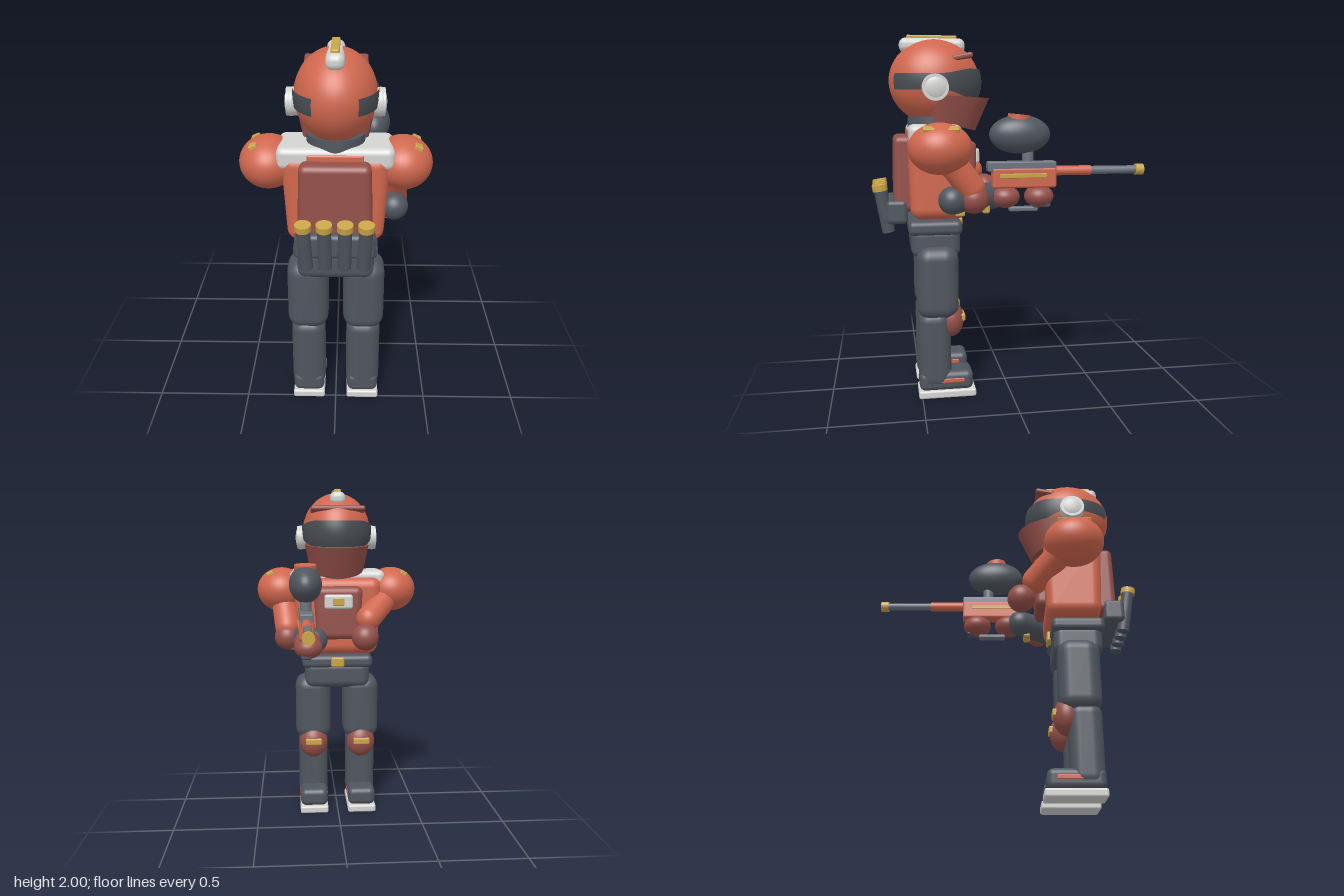
import * as THREE from 'three';
import { RoundedBoxGeometry } from 'three/addons/geometries/RoundedBoxGeometry.js';

const paint = (name, color, extra = {}) => {
  const m = new THREE.MeshStandardMaterial({ color, ...extra });
  m.name = name;
  return m;
};

export function createModel() {
  const orange = paint('orange armour', 0xd0674e);
  const maroon = paint('dark red armour', 0x95504a);
  const slate = paint('slate suit', 0x50565f);
  const visorMat = paint('visor', 0x484d53, { side: THREE.DoubleSide });
  const steel = paint('steel', 0x6c727e);
  const white = paint('light grey', 0xd4d4d3);
  const gold = paint('gold', 0xc9a548);

  const model = new THREE.Group();
  model.name = 'armouredTrooper';

  const add = (name, geo, mat, x = 0, y = 0, z = 0) => {
    const m = new THREE.Mesh(geo, mat);
    m.name = name;
    m.position.set(x, y, z);
    model.add(m);
    return m;
  };
  // Rounded box given by its extents on each axis
  const block = (name, mat, [x0, x1], [y0, y1], [z0, z1], r = 0.02) =>
    add(name, new RoundedBoxGeometry(x1 - x0, y1 - y0, z1 - z0, 4, r), mat,
      (x0 + x1) / 2, (y0 + y1) / 2, (z0 + z1) / 2);
  const ball = (name, mat, x, y, z, rx, ry = rx, rz = rx) => {
    const m = add(name, new THREE.SphereGeometry(1, 40, 28), mat, x, y, z);
    m.scale.set(rx, ry, rz);
    return m;
  };
  // Capsule or cylinder running between two points
  const between = (name, mat, a, b, r, capsule = true) => {
    const p = new THREE.Vector3(...a), q = new THREE.Vector3(...b);
    const len = p.distanceTo(q);
    const geo = capsule ? new THREE.CapsuleGeometry(r, len, 8, 28) : new THREE.CylinderGeometry(r, r, len, 28);
    const m = add(name, geo, mat);
    m.position.copy(p).add(q).multiplyScalar(0.5);
    m.quaternion.setFromUnitVectors(new THREE.Vector3(0, 1, 0), q.sub(p).normalize());
    return m;
  };
  // Scale x and z along the height
  const taper = (mesh, h, bottom, top) => {
    const p = mesh.geometry.attributes.position;
    for (let i = 0; i < p.count; i++) {
      const s = THREE.MathUtils.lerp(bottom, top, p.getY(i) / h + 0.5);
      p.setX(i, p.getX(i) * s);
      p.setZ(i, p.getZ(i) * s);
    }
    return mesh;
  };

  // Head and crest
  ball('head', orange, 0, 1.75, 0.395, 0.205, 0.23, 0.25);
  block('crest', white, [-0.045, 0.045], [1.905, 1.985], [0.225, 0.585], 0.035);
  block('crestStripe', gold, [-0.021, 0.021], [1.97, 2.0], [0.27, 0.545], 0.008);
  block('browPeak', maroon, [-0.16, 0.16], [1.865, 1.895], [0.195, 0.31], 0.012).rotation.x = 0.2;
  add('neck', new THREE.CylinderGeometry(0.145, 0.15, 0.14, 40), slate, 0, 1.49, 0.4);

  // Visor band wrapping the head, taller at the face
  const visor = new THREE.PlaneGeometry(1, 1, 64, 6);
  const vp = visor.attributes.position;
  for (let i = 0; i < vp.count; i++) {
    const a = vp.getX(i) * 2 * 2.6;
    const face = THREE.MathUtils.smoothstep(Math.cos(a), 0.1, 0.8);
    const y = 1.747 - 0.008 * face + vp.getY(i) * (0.085 + 0.07 * face);
    const c = Math.sqrt(1 - ((y - 1.75) / 0.24) ** 2);
    vp.setXYZ(i, 0.213 * Math.sin(a) * c, y, 0.395 - 0.262 * Math.cos(a) * c);
  }
  visor.computeVertexNormals();
  add('visor', visor, visorMat);

  // Jaw guard: slanted half bowl in front of the face
  const jaw = new THREE.CylinderGeometry(1, 1, 1, 48, 4);
  const jp = jaw.attributes.position;
  for (let i = 0; i < jp.count; i++) {
    const t = jp.getY(i) + 0.5, x = jp.getX(i), z = jp.getZ(i);
    const front = Math.max(0, -z);
    const depth = z < 0 ? 0.2 + 0.08 * t : 0.08;
    jp.setXYZ(i, x * (0.165 + 0.03 * t), THREE.MathUtils.lerp(1.53 - 0.05 * front, 1.675 - 0.015 * front, t), 0.37 + z * depth);
  }
  jaw.computeVertexNormals();
  add('jawGuard', jaw, maroon);

  // Torso
  taper(block('torso', orange, [-0.27, 0.27], [1.01, 1.48], [0.225, 0.56], 0.06), 0.47, 0.9, 1);
  block('shoulderYoke', white, [-0.29, 0.29], [1.405, 1.52], [0.27, 0.55], 0.035);
  block('yokeInset', orange, [-0.14, 0.14], [1.43, 1.49], [0.5, 0.556], 0.01);
  taper(block('chestPlate', maroon, [-0.15, 0.15], [1.11, 1.43], [0.175, 0.3], 0.04), 0.32, 0.85, 1);
  block('chestPocket', white, [-0.085, 0.085], [1.3, 1.385], [0.155, 0.2], 0.015);
  block('pocketBadge', gold, [-0.035, 0.035], [1.32, 1.365], [0.149, 0.17], 0.005);
  block('pelvis', slate, [-0.2, 0.2], [0.79, 0.96], [0.275, 0.545], 0.05);
  block('belt', slate, [-0.218, 0.218], [0.92, 1.0], [0.265, 0.56], 0.03);
  block('buckle', gold, [-0.04, 0.04], [0.93, 0.99], [0.247, 0.29], 0.01);

  // Backpack and canisters
  taper(block('backpack', maroon, [-0.19, 0.19], [1.05, 1.46], [0.5, 0.635], 0.035), 0.41, 1, 0.92);
  block('canisterRack', slate, [-0.2, 0.2], [0.985, 1.115], [0.56, 0.675], 0.025);
  for (const x of [-0.153, -0.051, 0.051, 0.153]) {
    between('canister', slate, [x * 0.93, 0.94, 0.665], [x, 1.17, 0.705], 0.034, false);
    between('canisterCap', gold, [x, 1.165, 0.705], [x, 1.198, 0.71], 0.04, false);
  }

  // Mirrored parts
  for (const s of [-1, 1]) {
    const ear = add('earPiece', new THREE.CapsuleGeometry(0.072, 0.02, 8, 32), white, s * 0.217, 1.715, 0.405);
    ear.rotation.z = Math.PI / 2;
    ear.scale.y = 0.4;
    between('earDisc', white, [s * 0.18, 1.715, 0.405], [s * 0.24, 1.715, 0.405], 0.07, false);

    ball('shoulderPad', orange, s * 0.338, 1.4, 0.393, 0.15, 0.135, 0.168);
    block('shoulderStripe', gold, [s * 0.407 - 0.022, s * 0.407 + 0.022], [1.487, 1.513], [0.3, 0.485], 0.006).rotation.z = -s * 0.42;

    const x = s * 0.15;
    block('thigh', slate, [x - 0.11, x + 0.11], [0.45, 0.86], [0.29, 0.52], 0.075);
    block('shin', slate, [x - 0.092, x + 0.092], [0.05, 0.5], [0.335, 0.515], 0.065);
    ball('kneePad', maroon, x, 0.435, 0.33, 0.088, 0.1, 0.07);
    block('kneeStripe', gold, [x - 0.05, x + 0.05], [0.43, 0.47], [0.254, 0.29], 0.008);
    block('boot', slate, [x - 0.085, x + 0.085], [0.04, 0.15], [0.215, 0.515], 0.035);
    block('bootStripe', orange, [x - 0.088, x + 0.088], [0.088, 0.114], [0.265, 0.4], 0.006);
    block('sole', white, [x - 0.088, x + 0.088], [0, 0.045], [0.2, 0.52], 0.012);
  }

  // Arms: the left one holds the grip, the right one crosses the chest
  between('leftUpperArm', orange, [0.33, 1.36, 0.36], [0.305, 1.19, 0.23], 0.075);
  ball('leftElbow', maroon, 0.305, 1.13, 0.215, 0.078);
  between('leftForearm', slate, [0.305, 1.125, 0.33], [0.145, 1.125, 0.1], 0.075);
  block('leftCuff', gold, [0.14, 0.24], [1.04, 1.09], [0.12, 0.16], 0.01);
  block('forearmStripe', gold, [0.26, 0.32], [1.04, 1.07], [0.265, 0.315], 0.008);
  between('rightUpperArm', orange, [-0.32, 1.37, 0.34], [-0.18, 1.24, 0.18], 0.075);
  ball('rightElbow', maroon, -0.153, 1.14, 0.1, 0.08);

  // Launcher
  const gx = 0.2, gy = 1.265;
  const span = (h) => [gx - h, gx + h];
  block('launcherBody', orange, span(0.042), [1.175, 1.285], [-0.25, 0.105], 0.012);
  block('launcherStripe', gold, span(0.046), [1.23, 1.255], [-0.195, 0.065], 0.004);
  block('launcherRail', steel, span(0.038), [1.265, 1.32], [-0.25, 0.13], 0.008);
  const rods = [['barrelSleeve', orange, -0.24, -0.45, 0.027], ['barrel', steel, -0.44, -0.72, 0.023], ['muzzle', gold, -0.71, -0.755, 0.031]];
  for (const [name, mat, z0, z1, r] of rods) between(name, mat, [gx, gy, z0], [gx, gy, z1], r, false);
  between('hopperStem', steel, [gx, 1.3, -0.095], [gx, 1.4, -0.095], 0.031, false);
  ball('hopper', slate, gx, 1.465, -0.05, 0.092, 0.105, 0.168);
  between('hopperLid', orange, [gx, 1.545, -0.045], [gx, 1.573, -0.048], 0.062, false);
  for (const z of [0.03, -0.16]) {
    between('grip', slate, [gx, 1.2, z], [gx, 1.07, z], 0.028, false);
    ball('hand', maroon, gx - 0.01, 1.125, z, 0.08, 0.062, 0.082);
  }
  block('triggerGuard', steel, span(0.025), [1.045, 1.07], [-0.15, 0.01], 0.008);
  block('foregripFoot', slate, span(0.03), [1.065, 1.1], [-0.22, -0.12], 0.01);

  return model;
}
